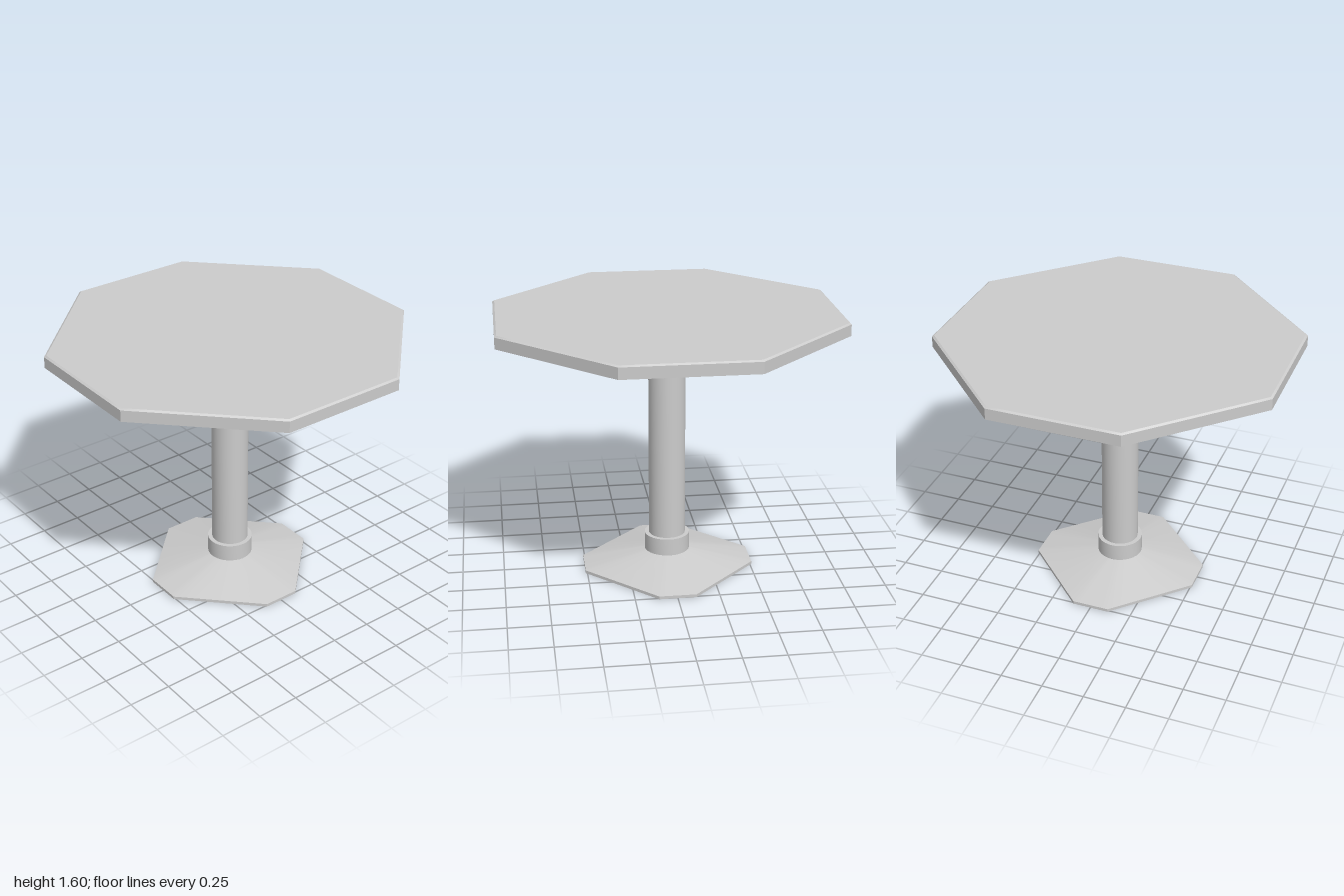
import * as THREE from 'three';
import { toCreasedNormals } from 'three/addons/utils/BufferGeometryUtils.js';

const STEPS = 6; // points per octagon edge

// Octagon outline: half width w, with flat edges of half length f
function octagon(w, f) {
  const corners = [[w, -f], [w, f], [f, w], [-f, w], [-w, f], [-w, -f], [-f, -w], [f, -w]];
  const points = [];
  corners.forEach(([x, z], i) => {
    const [nx, nz] = corners[(i + 1) % 8];
    for (let s = 0; s < STEPS; s++) {
      const t = s / STEPS;
      points.push([x + (nx - x) * t, z + (nz - z) * t]);
    }
  });
  return points;
}

// Circle whose points line up with those of an outline
function circle(r, outline) {
  return outline.map(([x, z]) => {
    const a = Math.atan2(z, x);
    return [r * Math.cos(a), r * Math.sin(a)];
  });
}

// Skin over rings listed from bottom to top, with optional flat ends
function loft(rings, capBottom, capTop) {
  const n = rings[0].points.length;
  const pos = [];
  const index = [];
  for (const { points, y } of rings) points.forEach(([x, z]) => pos.push(x, y, z));
  for (let r = 0; r < rings.length - 1; r++) {
    for (let i = 0; i < n; i++) {
      const a = r * n + i, b = r * n + (i + 1) % n;
      index.push(a, a + n, b, b, a + n, b + n);
    }
  }
  const cap = (r, up) => {
    const c = pos.length / 3;
    pos.push(0, rings[r].y, 0);
    for (let i = 0; i < n; i++) {
      const a = r * n + i, b = r * n + (i + 1) % n;
      if (up) index.push(c, b, a);
      else index.push(c, a, b);
    }
  };
  if (capBottom) cap(0, false);
  if (capTop) cap(rings.length - 1, true);
  const geometry = new THREE.BufferGeometry();
  geometry.setAttribute('position', new THREE.Float32BufferAttribute(pos, 3));
  geometry.setIndex(index);
  return toCreasedNormals(geometry, 0.5);
}

// Turned part from [radius, y] pairs
function turned(profile) {
  const points = profile.map(([r, y]) => new THREE.Vector2(r, y));
  return toCreasedNormals(new THREE.LatheGeometry(points, 32), 0.5);
}

export function createModel() {
  const group = new THREE.Group();
  const solid = new THREE.MeshStandardMaterial({ color: 0xcccccc });
  const open = new THREE.MeshStandardMaterial({ color: 0xcccccc, side: THREE.DoubleSide });
  const add = (name, geometry, material) => {
    const mesh = new THREE.Mesh(geometry, material);
    mesh.name = name;
    group.add(mesh);
  };

  // Tabletop slab with a fine bevel round its upper edge
  const edge = octagon(1, 0.38);
  add('tabletop', loft([
    { points: edge, y: 1.52 },
    { points: edge, y: 1.587 },
    { points: octagon(0.988, 0.375), y: 1.595 },
  ], true, true), solid);

  // Flared support under the top, round at the neck
  const flare = octagon(0.8, 0.285);
  add('topSupport', loft([
    { points: circle(0.13, flare), y: 1.385 },
    { points: flare, y: 1.503 },
    { points: flare, y: 1.52 },
  ], false, false), open);

  // Collars and hollow column
  add('upperCollar', turned([[0.11, 1.315], [0.138, 1.315], [0.138, 1.385], [0.11, 1.385]]), open);
  add('column', turned([[0.11, 0.2], [0.11, 1.385]]), open);
  add('lowerCollar', turned([[0.136, 0.1], [0.136, 0.205], [0.11, 0.205]]), open);

  // Hollow foot, a square set cornerwise with its corners cut off
  const foot = octagon(0.51, 0.11);
  add('foot', loft([
    { points: foot, y: 0 },
    { points: foot, y: 0.018 },
    { points: circle(0.136, foot), y: 0.1 },
  ], false, false), open);

  return group;
}
